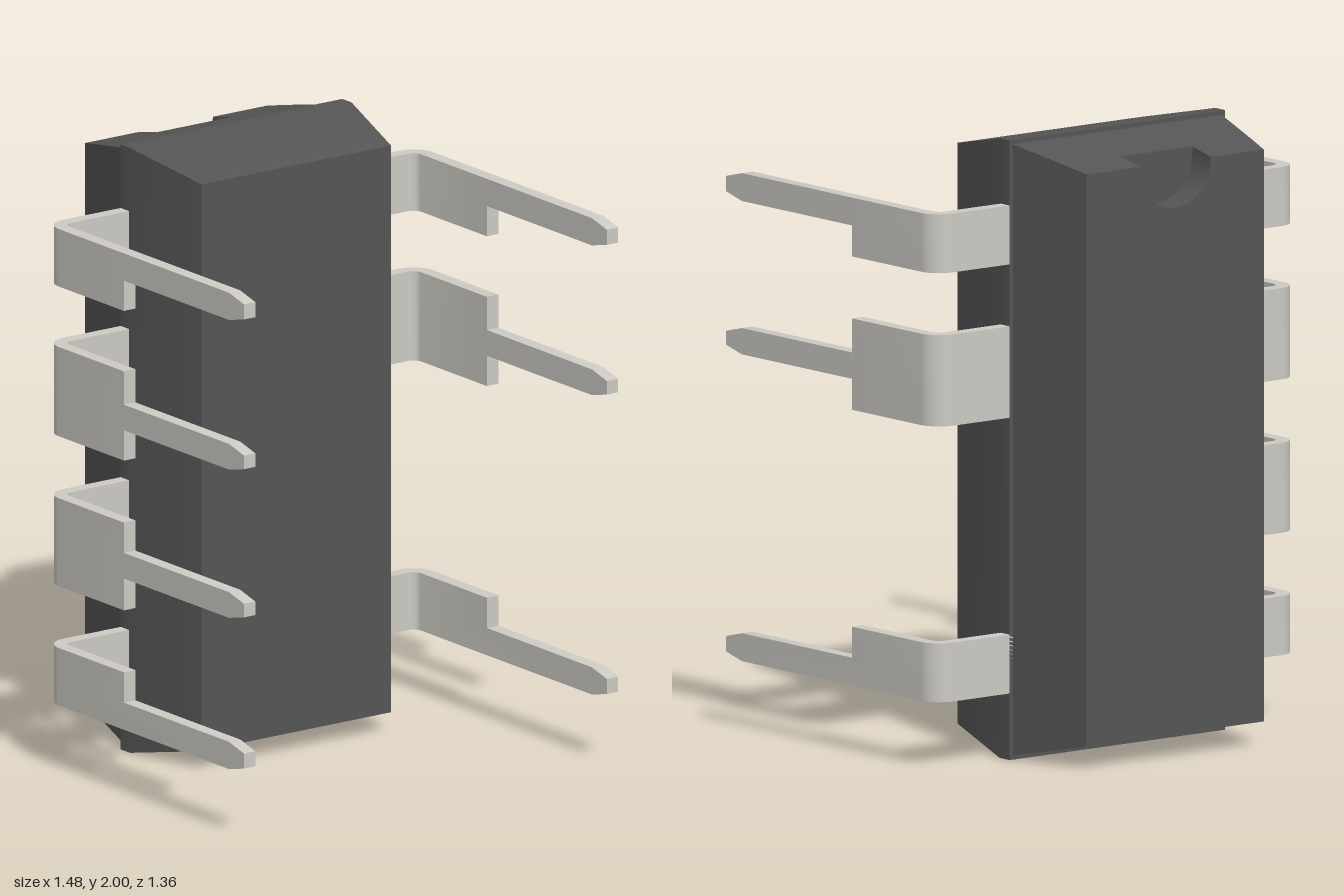
import * as THREE from 'three';
import { mergeGeometries, toCreasedNormals } from 'three/addons/utils/BufferGeometryUtils.js';

const bodyMat = new THREE.MeshStandardMaterial({ color: 0x555555 });
const metalMat = new THREE.MeshStandardMaterial({ color: 0xcccac3 });

// Solid through matching counter-clockwise outlines, ordered from front (+z) to back
function loft(sections) {
  const n = sections[0].pts.length, pos = [], idx = [];
  for (const { z, pts } of sections) for (const [x, y] of pts) pos.push(x, y, z);
  for (let s = 0; s < sections.length - 1; s++) {
    for (let i = 0; i < n; i++) {
      const a = s * n + i, b = s * n + (i + 1) % n;
      idx.push(a, a + n, b + n, a, b + n, b);
    }
  }
  const cap = (pts) => THREE.ShapeUtils.triangulateShape(pts.map(([x, y]) => new THREE.Vector2(x, y)), []);
  const last = (sections.length - 1) * n;
  for (const [a, b, c] of cap(sections[0].pts)) idx.push(a, b, c);
  for (const [a, b, c] of cap(sections[sections.length - 1].pts)) idx.push(last + a, last + c, last + b);
  const geo = new THREE.BufferGeometry();
  geo.setAttribute('position', new THREE.Float32BufferAttribute(pos, 3));
  geo.setIndex(idx);
  return toCreasedNormals(geo, 0.3);
}

// Rectangle centred on y = 1, given half width and half height
const rect = (z, w, h) => ({ z, pts: [[-w, 1 - h], [w, 1 - h], [w, 1 + h], [-w, 1 + h]] });

// The same rectangle with a round notch cut into its top edge
function notched(z, w, h) {
  const r = 0.145, cy = 1.92, steps = 20;
  const pts = [[-w, 1 - h], [w, 1 - h], [w, 1 + h], [r, 1 + h]];
  for (let i = 0; i <= steps; i++) {
    const a = -Math.PI * i / steps;
    pts.push([r * Math.cos(a), cy + r * Math.sin(a)]);
  }
  pts.push([-r, 1 + h], [-w, 1 + h]);
  return { z, pts };
}

// Lead: bent shoulder strip, then a flat plate narrowing to a tapered pin
function leadGeometry(side, y0, y1, p0, p1) {
  const zBack = -0.385, t = 0.045, xOut = 0.74, r = 0.075, zBend = zBack + r;
  const pts = [[0.41, zBack]];
  const arc = (radius, from, to) => {
    for (let i = 0; i <= 8; i++) {
      const a = THREE.MathUtils.lerp(from, to, i / 8);
      pts.push([xOut - r + radius * Math.cos(a), zBend + radius * Math.sin(a)]);
    }
  };
  arc(r, -Math.PI / 2, 0);
  arc(r - t, 0, -Math.PI / 2);
  pts.push([0.41, zBack + t]);
  const bendShape = new THREE.Shape(pts.map(([x, z]) => new THREE.Vector2(side * x, z)));
  const bend = new THREE.ExtrudeGeometry(bendShape, { depth: y1 - y0, bevelEnabled: false });
  bend.rotateX(Math.PI / 2).translate(0, y1, 0);

  const shoulder = 0.04, taper = 0.6, tip = 0.68, c = 0.02;
  const plateShape = new THREE.Shape([
    [zBend, y0], [shoulder, y0], [shoulder, p0], [taper, p0], [tip, p0 + c],
    [tip, p1 - c], [taper, p1], [shoulder, p1], [shoulder, y1], [zBend, y1],
  ].filter(([z, y], i, all) => i === 0 || z !== all[i - 1][0] || y !== all[i - 1][1])
    .map(([z, y]) => new THREE.Vector2(z, y)));
  const plate = new THREE.ExtrudeGeometry(plateShape, { depth: t, bevelEnabled: false });
  plate.rotateY(-Math.PI / 2).translate(side > 0 ? xOut : t - xOut, 0, 0);
  return toCreasedNormals(mergeGeometries([bend, plate]), 0.4);
}

export function createModel() {
  const model = new THREE.Group();
  const add = (name, geo, mat, parent = model) => {
    const mesh = new THREE.Mesh(geo, mat);
    mesh.name = name;
    parent.add(mesh);
  };

  // Moulded body: front half with flange, slightly smaller back half with notch
  const body = new THREE.Group();
  body.name = 'body';
  model.add(body);
  add('frontHalf', loft([rect(-0.04, 0.375, 0.937), rect(-0.335, 0.438, 1), rect(-0.385, 0.438, 1)]), bodyMat, body);
  add('backHalf', loft([rect(-0.385, 0.424, 0.986), rect(-0.585, 0.381, 0.944)]), bodyMat, body);
  add('notchedEnd', loft([notched(-0.585, 0.381, 0.944), notched(-0.68, 0.36, 0.923)]), bodyMat, body);

  // Leads: shoulder bottom, shoulder top, pin bottom, pin top
  const rows = [
    [1.6, 1.79, 1.7, 1.79],
    [1.105, 1.4, 1.205, 1.29],
    [0.61, 0.9, 0.715, 0.8],
    [0.215, 0.405, 0.215, 0.305],
  ];
  rows.forEach((row, i) => {
    add(`rightLead${i + 1}`, leadGeometry(-1, ...row), metalMat);
    // The left side has no third lead
    if (i !== 2) add(`leftLead${i + 1}`, leadGeometry(1, ...row), metalMat);
  });
  return model;
}
